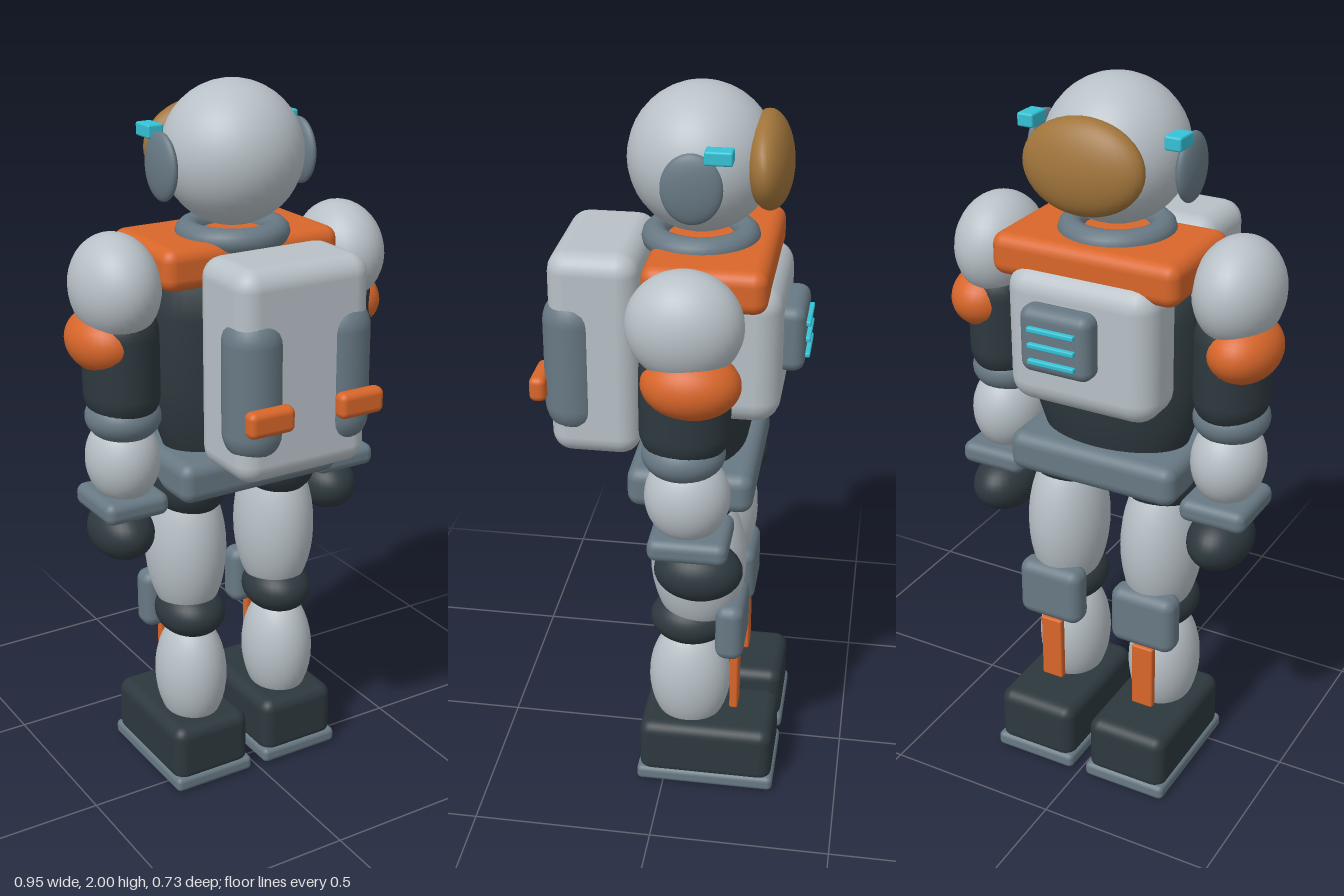
import * as THREE from 'three';
import { RoundedBoxGeometry } from 'three/addons/geometries/RoundedBoxGeometry.js';

const mat = (color) => new THREE.MeshStandardMaterial({ color });

export function createModel() {
  const suit = mat(0xb8c1c7), dark = mat(0x2d383e), slate = mat(0x687984);
  const orange = mat(0xd8662a), cyan = mat(0x35c2d6), gold = mat(0xa0743a);
  const model = new THREE.Group();
  model.name = 'spaceSuit';

  const add = (parent, name, geometry, material, pos) => {
    const mesh = new THREE.Mesh(geometry, material);
    mesh.name = name;
    mesh.position.set(...pos);
    parent.add(mesh);
    return mesh;
  };
  // Ellipsoid given by its three radii
  const ball = (parent, name, material, pos, radii) => {
    const g = new THREE.SphereGeometry(1, 32, 20).scale(...radii);
    return add(parent, name, g, material, pos);
  };
  // Box with rounded edges
  const box = (parent, name, material, pos, size, radius) =>
    add(parent, name, new RoundedBoxGeometry(...size, 3, radius), material, pos);
  const group = (name) => {
    const g = new THREE.Group();
    g.name = name;
    model.add(g);
    return g;
  };

  // Helmet with visor, ear pods and lamps
  const helmet = group('helmet');
  ball(helmet, 'helmetShell', suit, [0, 1.81, -0.065], [0.19, 0.19, 0.19]);
  const visor = ball(helmet, 'visor', gold, [0, 1.81, -0.238], [0.168, 0.122, 0.062]);
  visor.rotation.x = 0.1;
  for (const s of [-1, 1]) {
    ball(helmet, 'earPod', slate, [s * 0.21, 1.793, -0.068], [0.024, 0.09, 0.078]);
    box(helmet, 'lamp', cyan, [s * 0.206, 1.877, -0.135], [0.046, 0.036, 0.07], 0.006);
  }

  // Torso
  const torso = group('torso');
  const ring = new THREE.TorusGeometry(0.12, 0.035, 12, 40).rotateX(Math.PI / 2);
  add(torso, 'neckRing', ring, slate, [0, 1.6, -0.065]);
  box(torso, 'shoulderYoke', orange, [0, 1.545, -0.105], [0.535, 0.115, 0.32], 0.035);
  const profile = [[0.001, 0.94], [0.72, 0.95], [0.84, 1.02], [0.95, 1.1], [1, 1.2],
    [1, 1.4], [0.92, 1.5], [0.001, 1.56]].map((p) => new THREE.Vector2(...p));
  const body = new THREE.LatheGeometry(profile, 40).scale(0.25, 1, 0.15);
  add(torso, 'abdomen', body, dark, [0, 0, -0.072]);
  box(torso, 'chestPlate', suit, [0, 1.345, -0.205], [0.43, 0.38, 0.185], 0.065);
  box(torso, 'chestPanel', slate, [0.032, 1.37, -0.315], [0.205, 0.18, 0.075], 0.03);
  for (let i = 0; i < 3; i++)
    box(torso, 'chestLight', cyan, [0.032, 1.32 + i * 0.044, -0.355], [0.135, 0.014, 0.02], 0.004);
  box(torso, 'belt', slate, [0, 0.965, -0.07], [0.5, 0.115, 0.338], 0.035);
  box(torso, 'pelvis', dark, [0, 0.94, -0.07], [0.34, 0.12, 0.2], 0.03);

  // Backpack with side tanks and nozzles
  const pack = group('backpack');
  box(pack, 'packShell', suit, [0, 1.31, 0.193], [0.394, 0.57, 0.24], 0.055);
  for (const s of [-1, 1]) {
    const tank = new THREE.CapsuleGeometry(0.08, 0.24, 8, 24);
    add(pack, 'tank', tank, slate, [s * 0.133, 1.28, 0.252]);
    box(pack, 'nozzle', orange, [s * 0.137, 1.215, 0.341], [0.135, 0.07, 0.046], 0.018);
  }

  for (const s of [-1, 1]) {
    // Arm
    const arm = group(s > 0 ? 'leftArm' : 'rightArm');
    ball(arm, 'shoulder', suit, [s * 0.352, 1.497, -0.073], [0.115, 0.142, 0.148]);
    const upper = new THREE.CapsuleGeometry(0.1, 0.16, 8, 28).scale(1, 1, 1.17);
    add(arm, 'upperArm', upper, dark, [s * 0.34, 1.29, -0.073]);
    ball(arm, 'armBand', orange, [s * 0.38, 1.354, -0.093], [0.096, 0.088, 0.126]);
    ball(arm, 'elbow', slate, [s * 0.34, 1.14, -0.07], [0.102, 0.07, 0.108]);
    ball(arm, 'forearm', suit, [s * 0.34, 1.015, -0.08], [0.1, 0.125, 0.112]);
    box(arm, 'cuff', slate, [s * 0.34, 0.89, -0.09], [0.19, 0.064, 0.21], 0.025);
    ball(arm, 'hand', dark, [s * 0.338, 0.79, -0.11], [0.087, 0.082, 0.118]);

    // Leg
    const leg = group(s > 0 ? 'leftLeg' : 'rightLeg');
    ball(leg, 'hip', dark, [s * 0.145, 0.92, -0.065], [0.11, 0.11, 0.125]);
    ball(leg, 'thigh', suit, [s * 0.148, 0.71, -0.085], [0.111, 0.235, 0.133]);
    ball(leg, 'knee', dark, [s * 0.147, 0.51, -0.065], [0.097, 0.075, 0.115]);
    box(leg, 'kneePad', slate, [s * 0.148, 0.513, -0.182], [0.195, 0.175, 0.08], 0.032);
    ball(leg, 'shin', suit, [s * 0.148, 0.31, -0.063], [0.1, 0.18, 0.117]);
    box(leg, 'shinStrip', orange, [s * 0.148, 0.32, -0.193], [0.065, 0.2, 0.024], 0.006);
    box(leg, 'boot', dark, [s * 0.147, 0.108, -0.121], [0.24, 0.175, 0.384], 0.035);
    box(leg, 'sole', slate, [s * 0.147, 0.022, -0.121], [0.25, 0.044, 0.396], 0.015);
  }
  return model;
}
